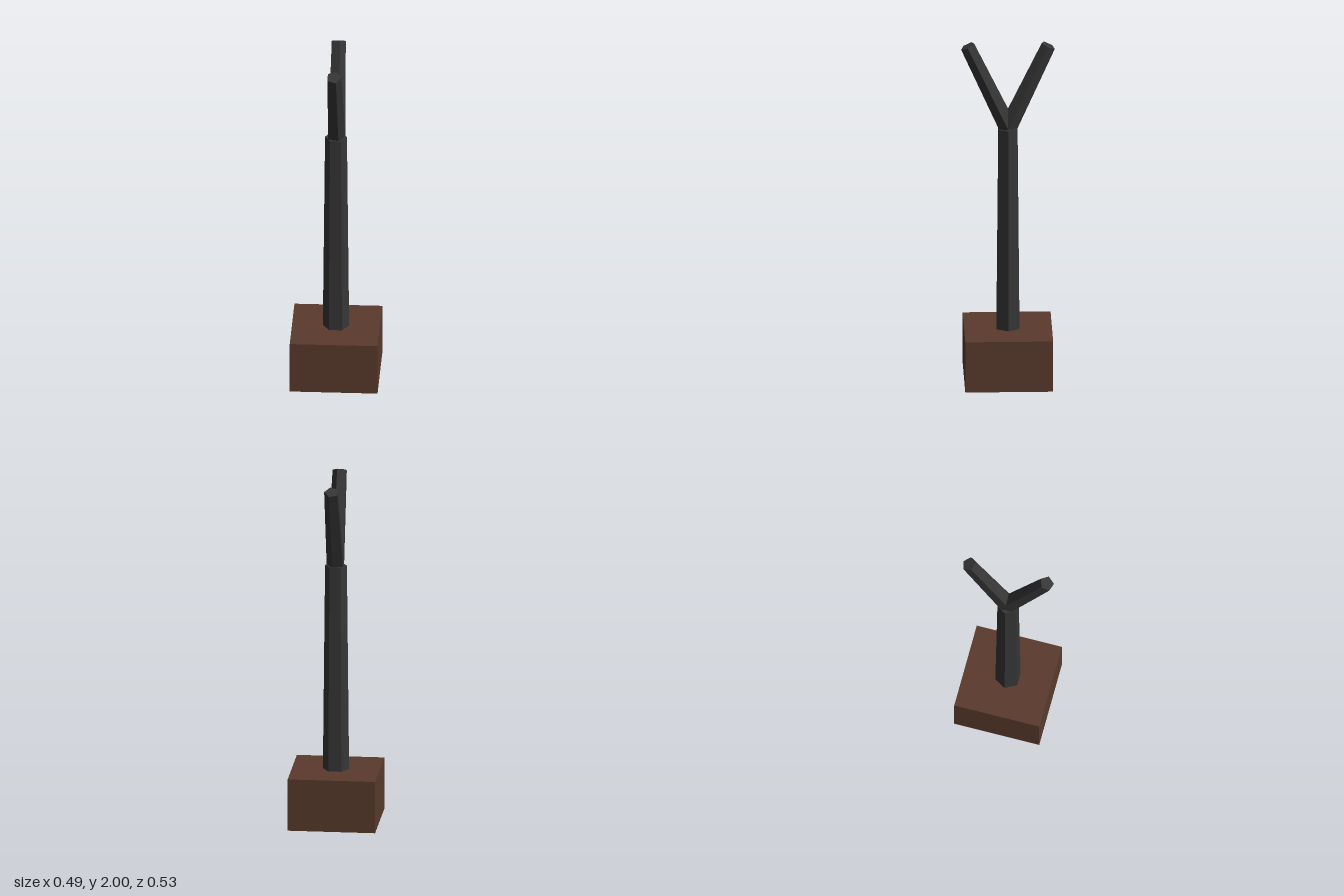
import * as THREE from 'three';

export function createModel() {
  const model = new THREE.Group();
  const brown = new THREE.MeshStandardMaterial({ color: 0x5a3b2d });
  brown.name = 'brown';
  const charcoal = new THREE.MeshStandardMaterial({ color: 0x363636 });
  charcoal.name = 'charcoal';

  function add(name, geometry, material) {
    // split the corners so that every side is flat
    const flat = geometry.toNonIndexed();
    flat.computeVertexNormals();
    const mesh = new THREE.Mesh(flat, material);
    mesh.name = name;
    model.add(mesh);
    return mesh;
  }

  // square block the post stands on
  add('base', new THREE.BoxGeometry(0.494, 0.3, 0.494), brown).position.y = 0.15;

  // tapered six-sided post, corners pointing left and right
  const post = new THREE.CylinderGeometry(0.0617, 0.074, 1.19, 6, 1, false, Math.PI / 6);
  add('post', post, charcoal).position.y = 0.895;

  // two five-sided prongs, leaning to the front and the back
  const length = 0.535;
  for (const [name, side] of [['frontProng', 1], ['backProng', -1]]) {
    const prong = new THREE.CylinderGeometry(0.043, 0.053, length, 5, 1, false, Math.PI / 2);
    prong.translate(0, length / 2, 0);
    const mesh = add(name, prong, charcoal);
    mesh.position.y = 1.497;
    mesh.rotation.x = side * THREE.MathUtils.degToRad(25);
  }

  return model;
}
